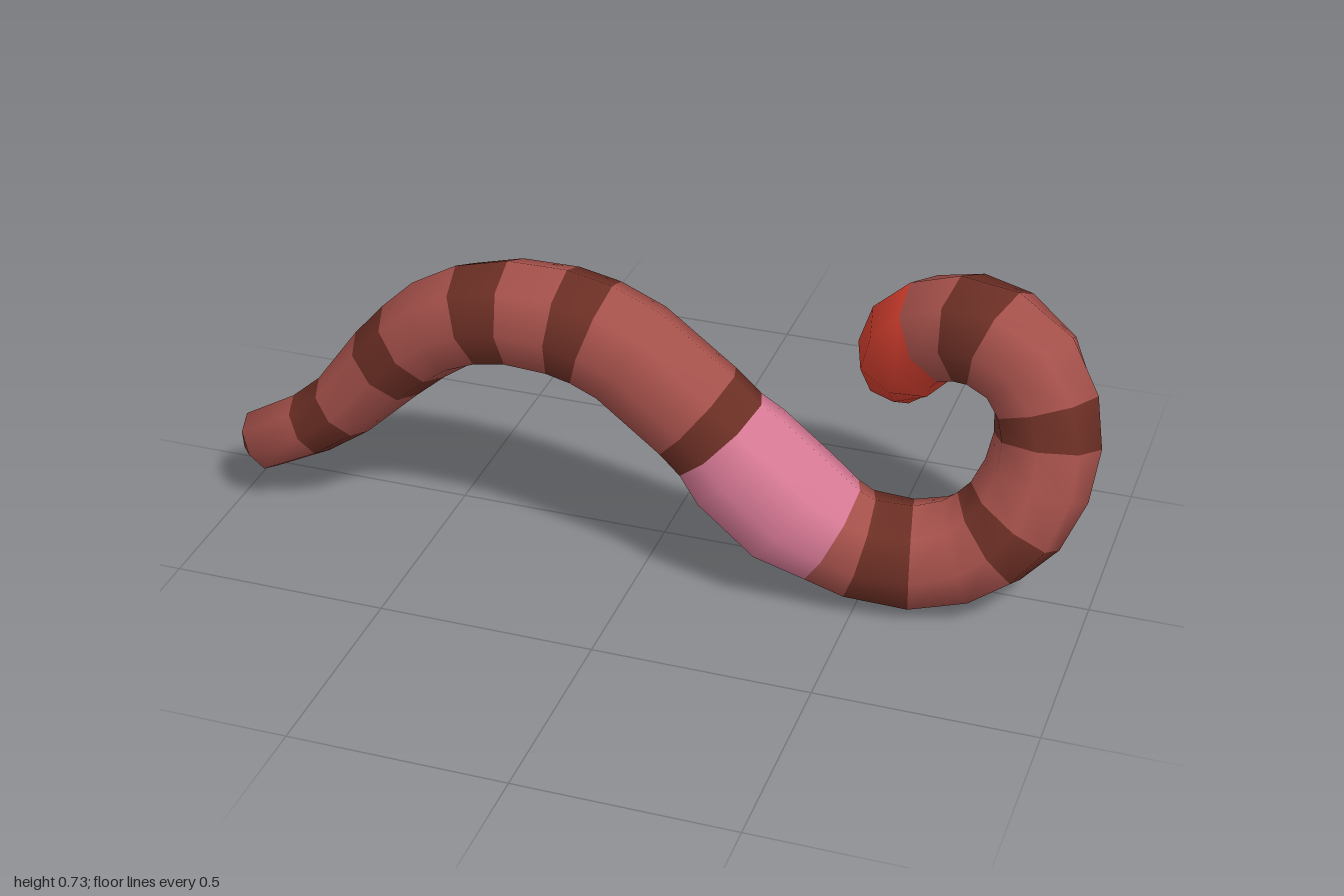
import * as THREE from 'three';

const SIDES = 8;

const material = (name, color) => {
  const m = new THREE.MeshStandardMaterial({ color });
  m.name = name;
  return m;
};

// Cross-sections from tail to head: [x, y, z, radius]
const RUNS = [
  ['tailTip', 'dark', [[-1.0, 0.12, 0.14, 0], [-0.95, 0.15, 0.14, 0.074]]],
  ['tailSegment', 'skin', [[-0.82, 0.22, 0.14, 0.078]]],
  ['tailBand', 'dark', [[-0.735, 0.285, 0.14, 0.084]]],
  ['rearSegment', 'skin', [[-0.62, 0.415, 0.14, 0.1]]],
  ['rearBand', 'dark', [[-0.55, 0.485, 0.14, 0.107]]],
  ['humpRearSegment', 'skin', [[-0.485, 0.54, 0.14, 0.114], [-0.4, 0.583, 0.14, 0.12]]],
  ['humpRearBand', 'dark', [[-0.305, 0.605, 0.14, 0.124]]],
  ['humpTopSegment', 'skin', [[-0.19, 0.603, 0.14, 0.127]]],
  ['humpFrontBand', 'dark', [[-0.113, 0.586, 0.14, 0.128]]],
  ['humpFrontSegment', 'skin', [[-0.03, 0.55, 0.14, 0.129], [0.125, 0.43, 0.14, 0.13]]],
  ['saddleBand', 'dark', [[0.178, 0.38, 0.14, 0.131]]],
  ['saddle', 'pink', [[0.225, 0.33, 0.138, 0.145], [0.345, 0.228, 0.136, 0.147], [0.435, 0.178, 0.13, 0.128]]],
  ['neckSegment', 'skin', [[0.495, 0.146, 0.118, 0.125]]],
  ['neckBand', 'dark', [[0.61, 0.127, 0.095, 0.126]]],
  ['curlLowSegment', 'skin', [[0.71, 0.147, 0.074, 0.126], [0.775, 0.185, 0.057, 0.125]]],
  ['curlLowBand', 'dark', [[0.827, 0.238, 0.04, 0.124]]],
  ['curlSideSegment', 'skin', [[0.863, 0.318, 0.008, 0.122], [0.875, 0.405, -0.022, 0.12]]],
  ['curlSideBand', 'dark', [[0.862, 0.483, -0.043, 0.12]]],
  ['curlTopSegment', 'skin', [[0.82, 0.555, -0.067, 0.123], [0.742, 0.6, -0.09, 0.126]]],
  ['curlTopBand', 'dark', [[0.665, 0.602, -0.115, 0.126]]],
  ['headSegment', 'skin', [[0.59, 0.572, -0.142, 0.123]]],
  ['head', 'red', [[0.535, 0.52, -0.165, 0.121], [0.51, 0.457, -0.18, 0.113], [0.503, 0.405, -0.195, 0.084], [0.515, 0.325, -0.215, 0]]],
];

// Octagonal cross-sections, square to the path, with smooth normals
function makeRings(nodes) {
  const centres = nodes.map(([x, y, z]) => new THREE.Vector3(x, y, z));
  const sideways = new THREE.Vector3(0, 0, 1);
  return nodes.map(([, , , r], i) => {
    const a = Math.max(i - 1, 0), b = Math.min(i + 1, nodes.length - 1);
    const along = centres[b].clone().sub(centres[a]);
    const slope = (nodes[b][3] - nodes[a][3]) / along.length();
    along.normalize();
    const up = sideways.clone().cross(along).normalize();
    const side = along.clone().cross(up);
    const points = [], normals = [];
    for (let k = 0; k <= SIDES; k++) {
      const t = (k / SIDES) * Math.PI * 2;
      const out = up.clone().multiplyScalar(Math.cos(t)).addScaledVector(side, Math.sin(t));
      points.push(centres[i].clone().addScaledVector(out, r));
      normals.push(r === 0
        ? along.clone().multiplyScalar(i === 0 ? -1 : 1)
        : out.addScaledVector(along, -slope).normalize());
    }
    return { points, normals };
  });
}

// Skin a run of neighbouring cross-sections
function skinRings(rings) {
  const positions = [], normals = [], index = [];
  rings.forEach((ring, i) => {
    ring.points.forEach((p, k) => {
      positions.push(p.x, p.y, p.z);
      normals.push(...ring.normals[k].toArray());
      if (i === 0 || k === 0) return;
      const d = i * (SIDES + 1) + k, c = d - 1;
      const b = d - SIDES - 1, a = b - 1;
      index.push(a, b, c, b, d, c);
    });
  });
  const g = new THREE.BufferGeometry();
  g.setAttribute('position', new THREE.Float32BufferAttribute(positions, 3));
  g.setAttribute('normal', new THREE.Float32BufferAttribute(normals, 3));
  g.setIndex(index);
  return g;
}

export function createModel() {
  const group = new THREE.Group();
  group.name = 'worm';
  const materials = {
    skin: material('skin brown', 0xa6514b),
    dark: material('band brown', 0x6c2f25),
    pink: material('saddle pink', 0xd87a96),
    red: material('head red', 0xd94030),
  };

  const rings = makeRings(RUNS.flatMap((run) => run[2]));
  let end = 0;
  for (const [name, colour, nodes] of RUNS) {
    // Each run starts on the last cross-section of the one before
    const start = Math.max(end - 1, 0);
    end += nodes.length;
    const mesh = new THREE.Mesh(skinRings(rings.slice(start, end)), materials[colour]);
    mesh.name = name;
    group.add(mesh);
  }
  return group;
}
